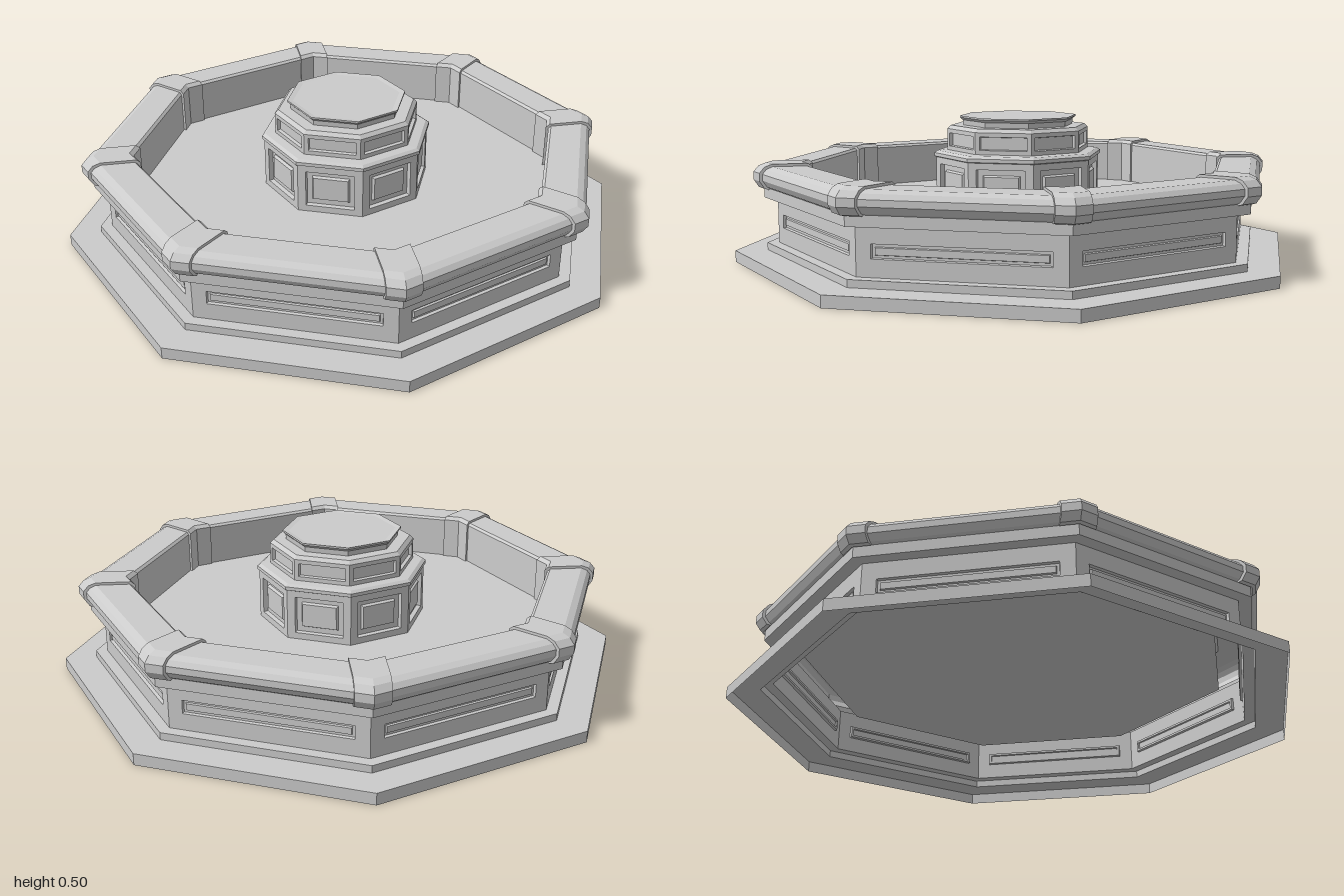
import * as THREE from 'three';

const SIDES = 8;
const HALF = Math.PI / SIDES;
const FLOOR_Y = 0.18;
const stone = new THREE.MeshStandardMaterial({
  color: 0xcccccc, flatShading: true, side: THREE.DoubleSide,
});

function addMesh(parent, name, geometry) {
  const mesh = new THREE.Mesh(geometry, stone);
  mesh.name = name;
  parent.add(mesh);
  return mesh;
}

// Octagonal ring from a list of [corner radius, height]
function octagon(profile) {
  const points = profile.map(([r, y]) => new THREE.Vector2(r, y));
  return new THREE.LatheGeometry(points, SIDES);
}

// Surface through a row of equally long cross-sections
function loft(sections, closed = false) {
  const pos = [];
  for (let s = 0; s < sections.length - 1; s++) {
    const a = sections[s], b = sections[s + 1];
    const n = closed ? a.length : a.length - 1;
    for (let i = 0; i < n; i++) {
      const j = (i + 1) % a.length;
      pos.push(...a[i], ...a[j], ...b[j], ...a[i], ...b[j], ...b[i]);
    }
  }
  const geo = new THREE.BufferGeometry();
  geo.setAttribute('position', new THREE.Float32BufferAttribute(pos, 3));
  geo.computeVertexNormals();
  return geo;
}

// Nested rectangles [width, height, depth] make a moulded panel facing +z
function panelGeometry(rects) {
  const rings = rects.map(([w, h, z]) => [
    [-w / 2, -h / 2, z], [w / 2, -h / 2, z], [w / 2, h / 2, z], [-w / 2, h / 2, z],
  ]);
  const z = rects[rects.length - 1][2];
  rings.push([0, 1, 2, 3].map(() => [0, 0, z]));
  return loft(rings, true);
}

// Eight panelled faces standing between two heights
function panelledWall(parent, name, radius, y0, y1, insets) {
  const group = new THREE.Group();
  group.name = name;
  const rects = [[2 * radius * Math.sin(HALF), y1 - y0, 0], ...insets];
  const geo = panelGeometry(rects);
  geo.translate(0, (y0 + y1) / 2, radius * Math.cos(HALF));
  for (let i = 0; i < SIDES; i++) {
    addMesh(group, 'panel', geo).rotation.y = (2 * i + 1) * HALF;
  }
  parent.add(group);
}

export function createModel() {
  const model = new THREE.Group();
  model.name = 'fountain';

  // Ground step, open underneath, and the plinth of the basin
  addMesh(model, 'baseStep', octagon([
    [1, 0], [1, 0.04], [0.89, 0.04], [0.89, 0.065], [0.85, 0.065],
  ]));

  // Outer basin wall with long sunken panels
  panelledWall(model, 'basinWall', 0.85, 0.065, 0.225, [
    [0.555, 0.046, 0], [0.551, 0.042, -0.01], [0.535, 0.026, -0.01], [0.531, 0.022, -0.004],
  ]);

  // Rim with rounded outer edge and inner wall
  const rim = [
    [0.85, 0.225], [0.895, 0.225], [0.895, 0.262], [0.905, 0.268], [0.92, 0.29],
    [0.92, 0.312], [0.907, 0.328], [0.885, 0.338], [0.77, 0.338], [0.76, 0.33],
    [0.76, FLOOR_Y],
  ];
  addMesh(model, 'rim', octagon(rim));
  addMesh(model, 'basinFloor', octagon([[0.76, FLOOR_Y], [0, FLOOR_Y]]));

  // Sleeves over the rim corners, running down the inner wall
  const base = rim.slice(2);
  const raised = [
    [0.9, 0.258], [0.913, 0.262], [0.93, 0.288], [0.93, 0.316], [0.912, 0.337],
    [0.886, 0.347], [0.764, 0.347], [0.75, 0.335], [0.75, FLOOR_Y],
  ];
  const w = 0.055;
  const station = (profile, x) =>
    profile.map(([r, y]) => [x, y, r - Math.abs(x) * Math.tan(HALF)]);
  const sleeve = loft([
    station(base, -w), station(raised, -w), station(raised, 0),
    station(raised, w), station(base, w),
  ]);
  const caps = new THREE.Group();
  caps.name = 'rimCorners';
  for (let i = 0; i < SIDES; i++) {
    addMesh(caps, 'rimCorner', sleeve).rotation.y = 2 * i * HALF;
  }
  model.add(caps);

  // Lower pedestal with framed panels
  panelledWall(model, 'lowerPedestal', 0.295, FLOOR_Y, 0.355, [
    [0.17, 0.13, 0], [0.166, 0.126, -0.016], [0.13, 0.09, -0.016], [0.12, 0.08, -0.006],
  ]);
  addMesh(model, 'pedestalLedge', octagon([
    [0.295, 0.355], [0.302, 0.358], [0.302, 0.37], [0.29, 0.378], [0.255, 0.38],
  ]));

  // Upper pedestal with smaller panels
  panelledWall(model, 'upperPedestal', 0.255, 0.38, 0.455, [
    [0.165, 0.046, 0], [0.161, 0.042, -0.012], [0.145, 0.028, -0.012],
  ]);
  addMesh(model, 'upperLedge', octagon([
    [0.255, 0.455], [0.242, 0.467], [0.198, 0.467],
  ]));

  // Flat cap on top
  addMesh(model, 'topCap', octagon([
    [0.198, 0.467], [0.2, 0.485], [0.21, 0.494], [0.21, 0.5], [0.19, 0.497], [0, 0.497],
  ]));

  return model;
}
